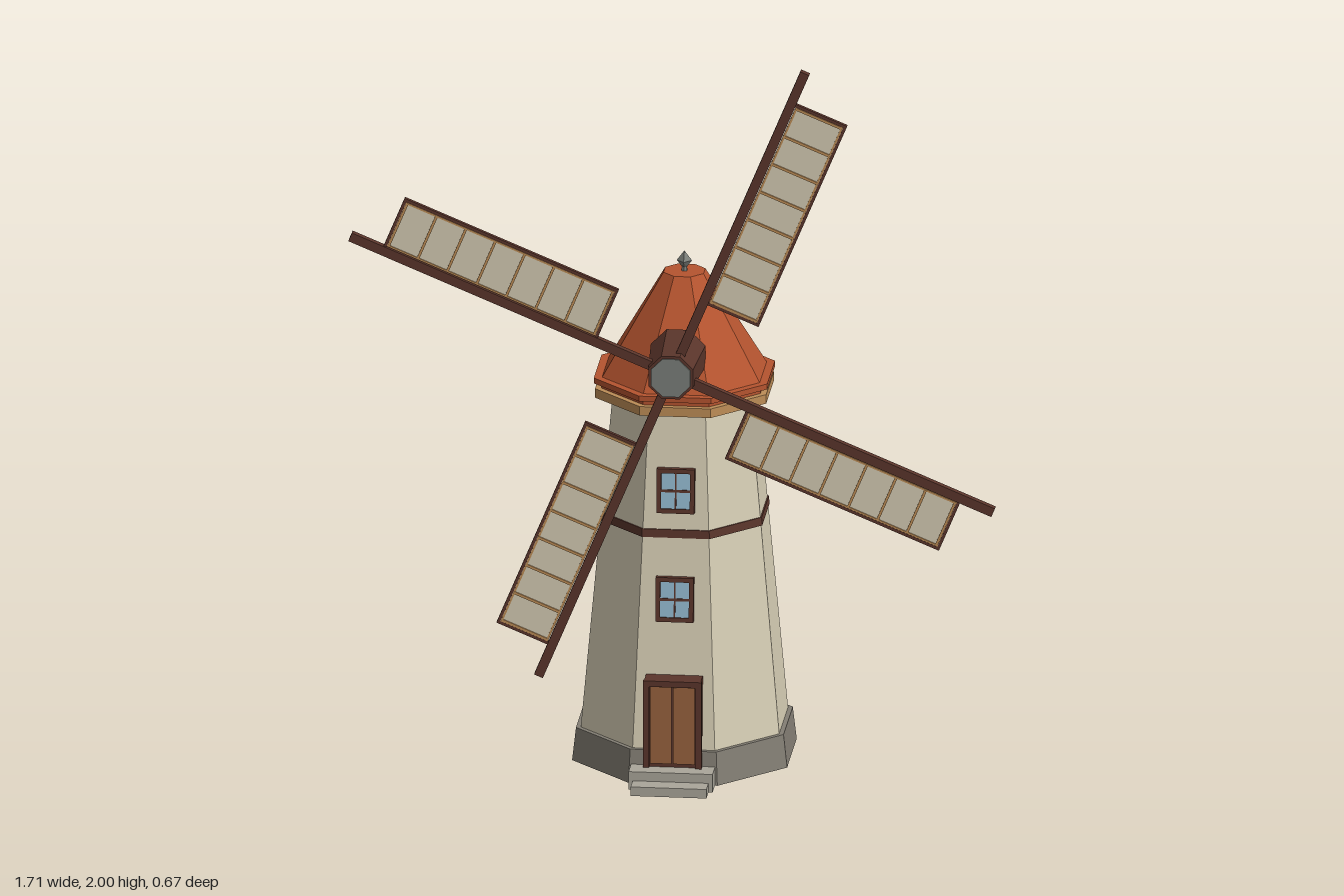
import * as THREE from 'three';

const material = (name, color) => {
  const m = new THREE.MeshStandardMaterial({ color, flatShading: true });
  m.name = name;
  return m;
};

export function createModel() {
  const plaster = material('cream plaster', 0xd8cfb6);
  const stone = material('grey stone', 0x837e74);
  const paleStone = material('pale step stone', 0xaaa69a);
  const roofRed = material('terracotta roof', 0xb5542f);
  const darkWood = material('dark wood', 0x5a352b);
  const tanWood = material('tan wood', 0xbd8d57);
  const doorWood = material('door wood', 0x98623e);
  const glass = material('window glass', 0x93b9cf);
  const metal = material('grey metal', 0x7b7f7a);
  const cloth = material('sail cloth', 0xd5ccb4);

  const model = new THREE.Group();
  model.name = 'windmill';

  const add = (parent, name, geometry, mat, x = 0, y = 0, z = 0) => {
    const mesh = new THREE.Mesh(geometry, mat);
    mesh.name = name;
    mesh.position.set(x, y, z);
    parent.add(mesh);
    return mesh;
  };
  const box = (parent, name, mat, w, h, d, x, y, z) =>
    add(parent, name, new THREE.BoxGeometry(w, h, d), mat, x, y, z);
  // Octagonal prism or frustum; sizes are measured to the flat sides
  const octagon = (bottom, top, height) => {
    const k = 1 / Math.cos(Math.PI / 8);
    return new THREE.CylinderGeometry(top * k, bottom * k, height, 8).rotateY(Math.PI / 8);
  };
  const group = (parent, name, x, y, z) => {
    const g = new THREE.Group();
    g.name = name;
    g.position.set(x, y, z);
    parent.add(g);
    return g;
  };

  // Tower, stacked from the ground up: bottom y, top y, bottom and top half width
  const tower = group(model, 'tower', 0, 0, -0.055);
  const layers = [
    ['stoneBase', stone, 0, 0.09, 0.284, 0.274],
    ['towerWall', plaster, 0.09, 1.01, 0.262, 0.181],
    ['woodBand', darkWood, 0.66, 0.682, 0.2155, 0.2135],
    ['eavesRing', tanWood, 1.0, 1.025, 0.226, 0.226],
    ['roofUnderside', roofRed, 1.025, 1.04, 0.21, 0.21],
    ['roofLip', roofRed, 1.04, 1.055, 0.229, 0.229],
    ['roof', roofRed, 1.055, 1.33, 0.208, 0.053],
  ];
  for (const [name, mat, y0, y1, r0, r1] of layers) {
    add(tower, name, octagon(r0, r1, y1 - y0), mat, 0, (y0 + y1) / 2, 0);
  }

  // Finial
  add(tower, 'finialStem', new THREE.CylinderGeometry(0.007, 0.009, 0.02, 6), metal, 0, 1.335, 0);
  const finial = add(tower, 'finial', new THREE.OctahedronGeometry(0.02), metal, 0, 1.358, 0);
  finial.scale.y = 1.35;

  // Door with two leaves
  const door = group(model, 'door', 0, 0.17, 0);
  box(door, 'doorBack', darkWood, 0.15, 0.24, 0.06, 0, 0, 0.207);
  for (const s of [-1, 1]) {
    box(door, 'doorLeaf', doorWood, 0.057, 0.212, 0.006, s * 0.0305, -0.004, 0.238);
    box(door, 'doorJamb', darkWood, 0.016, 0.24, 0.012, s * 0.069, 0, 0.24);
  }
  box(door, 'doorLintel', darkWood, 0.154, 0.016, 0.012, 0, 0.112, 0.24);

  // Steps
  box(model, 'upperStep', paleStone, 0.222, 0.05, 0.085, 0, 0.025, 0.2425);
  box(model, 'lowerStep', paleStone, 0.2, 0.025, 0.07, 0, 0.0125, 0.3);

  // Two windows leaning with the wall
  for (const [y, z] of [[0.789, 0.149], [0.496, 0.174]]) {
    const win = group(model, 'window', 0, y, z);
    win.rotation.x = -0.088;
    box(win, 'windowBack', darkWood, 0.1, 0.12, 0.02, 0, 0, -0.002);
    box(win, 'windowGlass', glass, 0.076, 0.096, 0.004, 0, 0, 0.009);
    for (const s of [-1, 1]) {
      box(win, 'windowJamb', darkWood, 0.012, 0.12, 0.009, s * 0.044, 0, 0.011);
      box(win, 'windowRail', darkWood, 0.1, 0.012, 0.009, 0, s * 0.054, 0.011);
    }
    box(win, 'windowCrossbar', darkWood, 0.076, 0.007, 0.004, 0, 0, 0.011);
    box(win, 'windowMullion', darkWood, 0.004, 0.096, 0.004, 0, 0, 0.0105);
  }

  // Sail shaft and hub, pointing forward
  const rotor = group(model, 'rotor', 0, 1.146, 0);
  add(rotor, 'shaft', octagon(0.072, 0.059, 0.182).rotateX(Math.PI / 2), darkWood, 0, 0, 0.191);
  add(rotor, 'hubCap', octagon(0.052, 0.052, 0.006).rotateX(Math.PI / 2), metal, 0, 0, 0.283);

  // Four sails, each along its own +y with the cloth on its +x side
  for (let i = 0; i < 4; i++) {
    const sail = group(rotor, 'sail', 0, 0, 0.249);
    sail.rotation.z = -Math.PI / 8 + (i * Math.PI) / 2;
    box(sail, 'spar', darkWood, 0.025, 0.919, 0.02, 0, 0.4595, 0);
    box(sail, 'sailCloth', cloth, 0.138, 0.6, 0.006, 0.083, 0.523, 0);
    box(sail, 'outerRail', darkWood, 0.008, 0.608, 0.012, 0.154, 0.523, 0);
    for (const y of [0.221, 0.825]) {
      box(sail, 'endRail', darkWood, 0.146, 0.008, 0.012, 0.085, y, 0);
    }
    // Tan lattice on the front face
    for (const x of [0.0175, 0.147]) {
      box(sail, 'latticeEdge', tanWood, 0.005, 0.596, 0.005, x, 0.523, 0.004);
    }
    for (let j = 0; j <= 7; j++) {
      box(sail, 'rung', tanWood, 0.132, 0.007, 0.005, 0.083, 0.229 + j * 0.084, 0.0045);
    }
  }

  return model;
}
